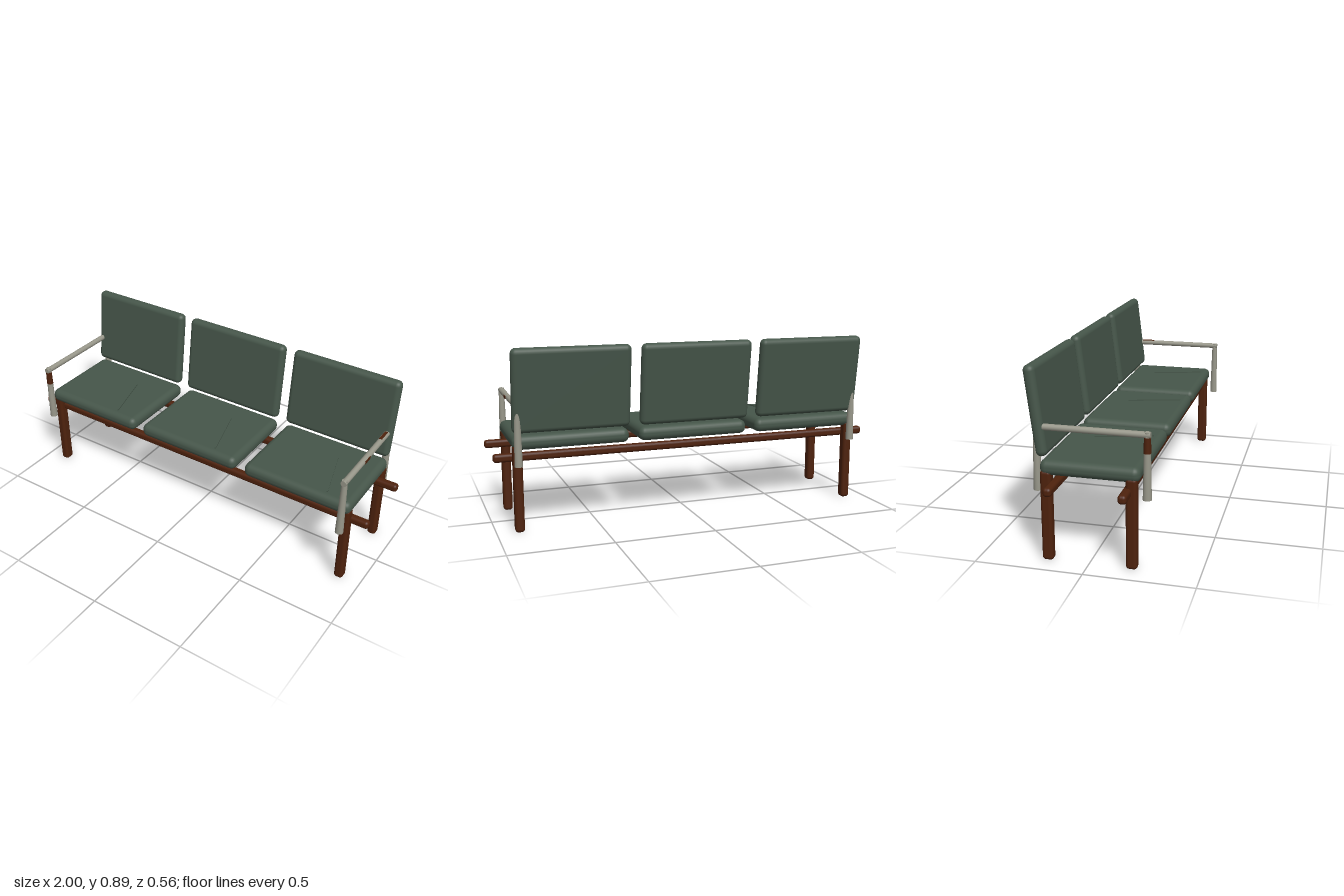
import * as THREE from 'three';
import { RoundedBoxGeometry } from 'three/addons/geometries/RoundedBoxGeometry.js';

const mat = (name, color) => {
  const m = new THREE.MeshStandardMaterial({ color });
  m.name = name;
  return m;
};

export function createModel() {
  const green = mat('green upholstery', 0x46564a);
  const brown = mat('brown wood', 0x4e220d);
  const grey = mat('warm grey metal', 0x98978a);
  const model = new THREE.Group();
  model.name = 'threeSeatBench';

  const add = (parent, name, geometry, material, x, y, z) => {
    const mesh = new THREE.Mesh(geometry, material);
    mesh.name = name;
    mesh.position.set(x, y, z);
    parent.add(mesh);
    return mesh;
  };

  // Three seats, each with a leaning back and a raised seam
  const seatGeo = new RoundedBoxGeometry(0.575, 0.071, 0.453, 3, 0.032);
  const backGeo = new RoundedBoxGeometry(0.575, 0.408, 0.054, 3, 0.026);
  const seamGeo = new THREE.BoxGeometry(0.006, 0.009, 0.28);
  for (const x of [-0.627, 0, 0.627]) {
    const seat = new THREE.Group();
    seat.name = 'seat';
    seat.position.x = x;
    add(seat, 'seatCushion', seatGeo, green, 0, 0.4375, 0.007);
    add(seat, 'backCushion', backGeo, green, 0, 0.689, -0.23).rotation.x = -0.122;
    add(seat, 'seatSeam', seamGeo, green, 0.115, 0.4745, 0.06).rotation.y = 0.284;
    model.add(seat);
  }

  // Long bars under the seats
  const barGeo = new RoundedBoxGeometry(2, 0.041, 0.039, 3, 0.015);
  add(model, 'frontBar', barGeo, brown, 0, 0.361, 0.177);
  add(model, 'rearBar', barGeo, brown, 0, 0.361, -0.153);

  // Legs and armrests at both ends
  const legGeo = new RoundedBoxGeometry(0.046, 0.426, 0.052, 3, 0.016);
  const postGeo = new THREE.CylinderGeometry(0.0135, 0.02, 0.303, 16);
  const railGeo = new THREE.CylinderGeometry(0.0145, 0.0145, 0.508, 16).rotateX(Math.PI / 2);
  for (const side of [-1, 1]) {
    const x = side * 0.89;
    add(model, 'frontLeg', legGeo, brown, x, 0.213, 0.195);
    add(model, 'rearLeg', legGeo, brown, x, 0.213, -0.19);

    const arm = new THREE.Group();
    arm.name = 'armrest';
    arm.position.x = x;
    add(arm, 'frontPost', postGeo, grey, 0, 0.4815, 0.262);
    add(arm, 'rearPost', postGeo, grey, 0, 0.4815, -0.23);
    add(arm, 'rail', railGeo, grey, 0, 0.6205, 0.022);
    model.add(arm);
  }

  // Small worn brown patches on the armrests
  const sleeve = new THREE.CylinderGeometry(0.0152, 0.0168, 0.07, 16);
  add(model, 'rightPostPatch', sleeve, brown, -0.89, 0.575, 0.262);
  const topPatch = new THREE.BoxGeometry(0.014, 0.004, 0.07);
  add(model, 'leftRailTopPatch', topPatch, brown, 0.89, 0.634, -0.155);
  const sidePatch = new THREE.BoxGeometry(0.004, 0.014, 0.055);
  add(model, 'leftRailSidePatch', sidePatch, brown, 0.9035, 0.62, 0.05);

  return model;
}
